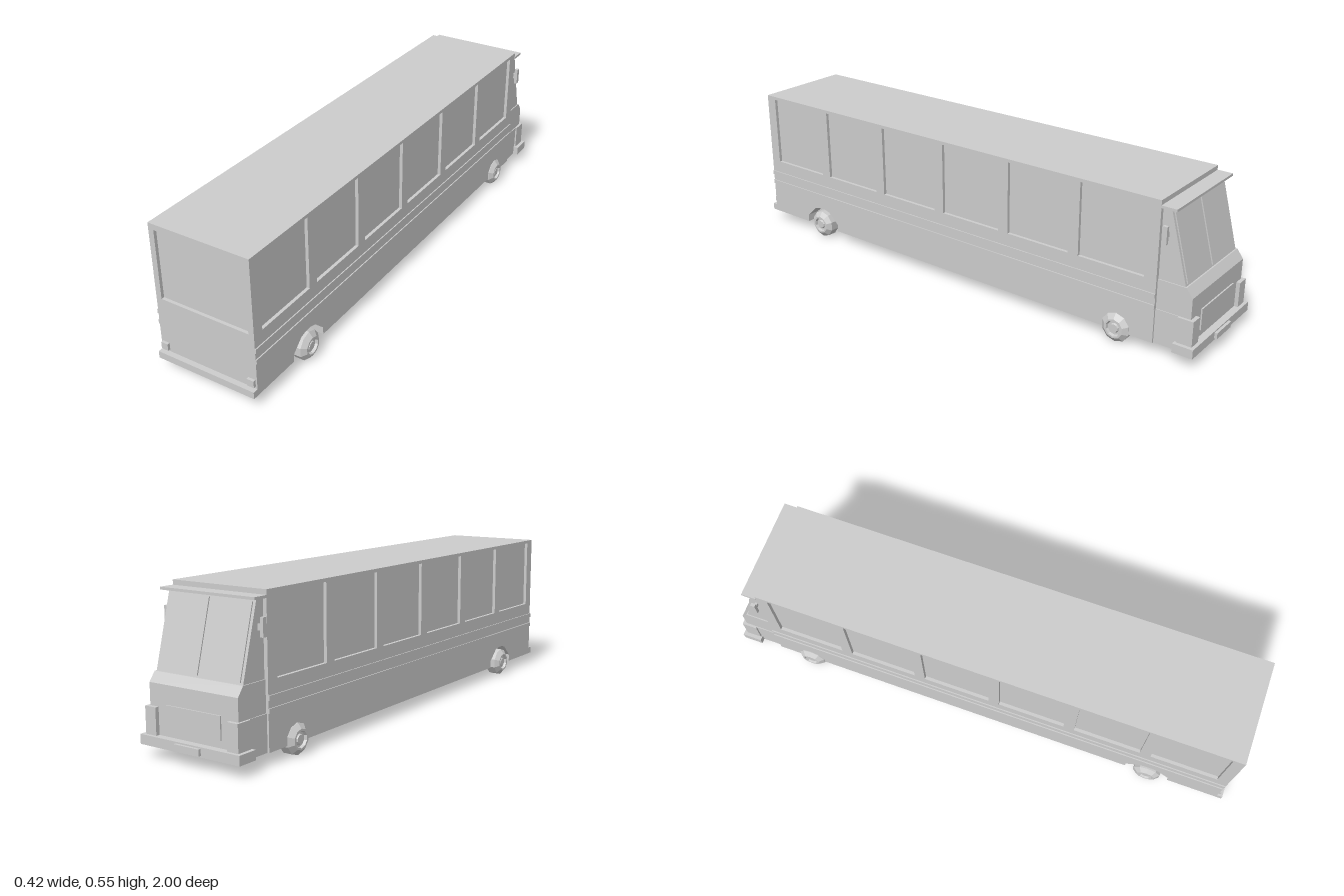
import * as THREE from 'three';

export function createModel() {
  const bus = new THREE.Group();
  bus.name = 'bus';
  const paint = new THREE.MeshStandardMaterial({ color: 0xcccccc });
  paint.name = 'light grey';

  const add = (name, geometry, parent = bus) => {
    const mesh = new THREE.Mesh(geometry, paint);
    mesh.name = name;
    parent.add(mesh);
    return mesh;
  };
  // box given by its limits on each axis
  const box = (name, x0, x1, y0, y1, z0, z1) => {
    const g = new THREE.BoxGeometry(x1 - x0, y1 - y0, z1 - z0);
    g.translate((x0 + x1) / 2, (y0 + y1) / 2, (z0 + z1) / 2);
    return add(name, g);
  };
  const toShape = (pts) => new THREE.Shape(pts.map(([a, b]) => new THREE.Vector2(a, b)));
  const rect = (a0, a1, b0, b1) =>
    new THREE.Path([[a0, b0], [a1, b0], [a1, b1], [a0, b1]].map(([a, b]) => new THREE.Vector2(a, b)));
  // (z, y) profile extruded across x
  const across = (name, shape, x0, x1) => {
    const g = new THREE.ExtrudeGeometry(shape, { depth: x1 - x0, bevelEnabled: false });
    g.rotateY(-Math.PI / 2).translate(x1, 0, 0);
    return add(name, g);
  };

  const W = 0.194, SKIN = 0.182, LOW = 0.042, TOP = 0.552;
  const FRONT = -0.837, REAR = 0.968, TAIL = 0.98;

  // Body core, then side layers with rear wheel arches and recessed windows
  box('bodyCore', -0.14, 0.14, LOW, TOP, FRONT, REAR);
  const sideOutline = [
    [FRONT, LOW], [0.615, LOW], [0.615, 0.07], [0.66, 0.112], [0.685, 0.119],
    [0.715, 0.119], [0.74, 0.112], [0.785, 0.07], [0.785, LOW],
    [REAR, LOW], [REAR, TOP], [FRONT, TOP],
  ];
  for (const s of [1, -1]) {
    const span = (a, b) => (s > 0 ? [a, b] : [-b, -a]);
    across('sideStructure', toShape(sideOutline), ...span(0.14, SKIN));
    const skin = toShape(sideOutline);
    for (let i = 0; i < 6; i++) {
      const z = 0.938 - i * 0.295;
      skin.holes.push(rect(z - 0.254, z, 0.272, 0.54));
    }
    across('windowSidePanel', skin, ...span(SKIN, W));

    // Rub rails
    for (const y of [0.167, 0.208]) box('rubRail', ...span(W, 0.198), y, y + 0.016, FRONT, TAIL);

    // Mirror
    box('mirror', ...span(0.193, 0.205), 0.41, 0.472, -0.868, -0.851);
    box('mirrorArm', ...span(0.175, 0.195), 0.43, 0.45, -0.864, -0.855);

    // Lights
    box('headlight', ...span(0.148, 0.193), 0.075, 0.167, -0.978, -0.92);
    box('tailLight', ...span(0.161, 0.188), 0.076, 0.102, TAIL - 0.002, 0.99);
  }

  // Rear wall with recessed window
  const rearShape = toShape([[-W, LOW], [W, LOW], [W, TOP], [-W, TOP]]);
  rearShape.holes.push(rect(-0.173, 0.173, 0.273, 0.531));
  const rearWall = new THREE.ExtrudeGeometry(rearShape, { depth: TAIL - REAR, bevelEnabled: false });
  add('rearWall', rearWall.translate(0, 0, REAR));
  box('rearBumper', -W, W, LOW, 0.068, TAIL, 1);

  // Cab, hood and lower nose
  across('cab', toShape([[FRONT, 0.27], [-0.936, 0.27], [-0.866, 0.53], [FRONT, 0.53]]), -0.18, 0.18);
  across('hood', toShape([
    [FRONT, 0.165], [-0.964, 0.165], [-0.964, 0.242], [-0.94, 0.274], [FRONT, 0.274],
  ]), -0.184, 0.184);
  box('lowerNose', -0.187, 0.187, LOW, 0.167, -0.964, FRONT);
  box('grille', -0.115, 0.115, 0.1, 0.178, -0.969, -0.962);
  box('sunVisor', -0.195, 0.195, 0.526, 0.535, -0.893, FRONT);

  // Windscreen panes lying on the sloped cab face
  const slope = Math.atan2(0.07, 0.26);
  for (const s of [1, -1]) {
    const pane = add('windscreenPane', new THREE.BoxGeometry(0.165, 0.245, 0.006));
    pane.position.set(s * 0.087, 0.399, -0.9025);
    pane.rotation.x = slope;
  }

  // Front bumper and plate
  box('frontBumper', -0.207, 0.207, LOW, 0.075, -0.99, -0.915);
  box('numberPlate', -0.052, 0.052, 0.048, 0.07, -1, -0.988);

  // Wheels: faceted tyre with bevelled shoulders, dished rim and raised hub
  const profile = [
    [0, -0.03], [0.04, -0.032], [0.054, -0.018], [0.054, 0.017],
    [0.036, 0.032], [0.029, 0.032], [0.026, 0.022], [0.018, 0.022], [0.015, 0.028], [0, 0.028],
  ].map(([r, a]) => new THREE.Vector2(r, a));
  const wheelGeometry = new THREE.LatheGeometry(profile, 10, Math.PI / 2)
    .rotateZ(-Math.PI / 2).toNonIndexed();
  wheelGeometry.computeVertexNormals();
  for (const [name, z] of [['frontWheel', -0.697], ['rearWheel', 0.7]]) {
    for (const s of [1, -1]) {
      const wheel = add(name, wheelGeometry);
      wheel.position.set(s * 0.179, 0.054, z);
      if (s < 0) wheel.rotation.y = Math.PI;
    }
  }
  return bus;
}
